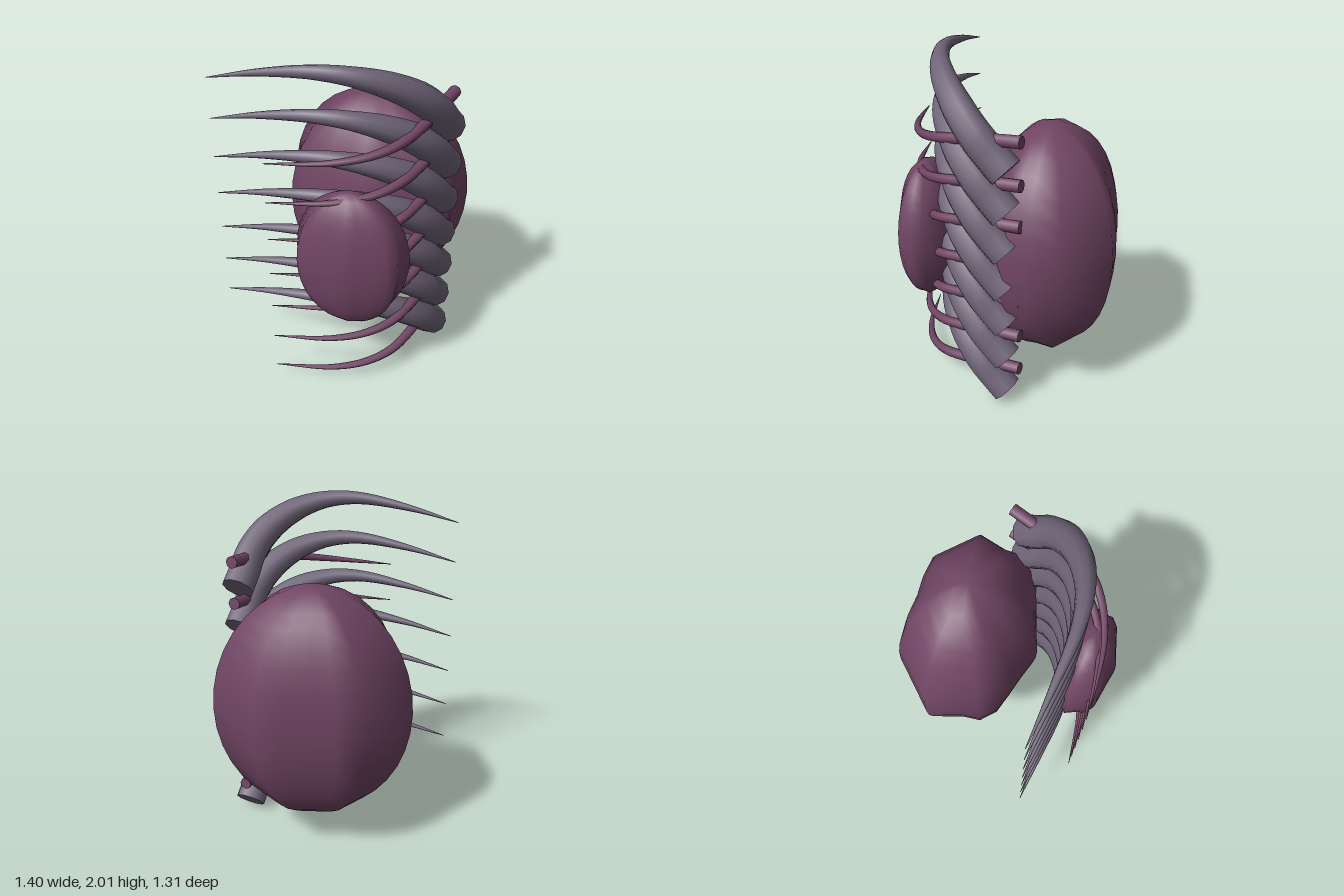
import * as THREE from 'three';
import { mergeGeometries, mergeVertices } from 'three/addons/utils/BufferGeometryUtils.js';

const COUNT = 7, SPACING = 0.2425;

// Tapered tube along a smooth path, radii spread evenly from base to tip, with a flat base cap
function taperedTube(points, radii, sides) {
  const curve = new THREE.CatmullRomCurve3(points.map(p => new THREE.Vector3(...p)));
  const steps = 32;
  const tube = new THREE.TubeGeometry(curve, steps, 1, sides, false);
  const pos = tube.attributes.position, v = new THREE.Vector3();
  for (let i = 0; i <= steps; i++) {
    const c = curve.getPointAt(i / steps);
    const t = (i / steps) * (radii.length - 1);
    const k = Math.min(Math.floor(t), radii.length - 2);
    const r = THREE.MathUtils.lerp(radii[k], radii[k + 1], t - k);
    for (let j = 0; j <= sides; j++) {
      const n = i * (sides + 1) + j;
      v.fromBufferAttribute(pos, n).sub(c).multiplyScalar(r).add(c);
      pos.setXYZ(n, v.x, v.y, v.z);
    }
  }
  tube.deleteAttribute('uv');
  const capPos = [...points[0]], capIndex = [];
  for (let j = 0; j <= sides; j++) {
    capPos.push(pos.getX(j), pos.getY(j), pos.getZ(j));
    if (j < sides) capIndex.push(0, j + 1, j + 2);
  }
  const cap = new THREE.BufferGeometry();
  cap.setAttribute('position', new THREE.Float32BufferAttribute(capPos, 3));
  cap.setIndex(capIndex);
  cap.computeVertexNormals();
  return mergeGeometries([tube, cap]);
}

// Half of the lobed horizontal outline (x, z), front to back
const HALF = [[0, 0.42], [0.13, 0.375], [0.27, 0.335], [0.41, 0.29], [0.5, 0.2],
  [0.51, 0.08], [0.57, -0.115], [0.3, -0.38], [0.15, -0.395], [0, -0.385]];

// Lobed ovoid: a sphere whose columns follow the mirrored outline
function lobedOvoid(height) {
  const outline = [...HALF, ...HALF.slice(1, -1).reverse().map(([x, z]) => [-x, z])];
  const cols = outline.length, rows = 18;
  const g = new THREE.SphereGeometry(1, cols, rows);
  const pos = g.attributes.position;
  for (let i = 0; i <= rows; i++) {
    const a = (i / rows) * Math.PI, s = Math.sin(a);
    for (let j = 0; j <= cols; j++) {
      const [x, z] = outline[j % cols];
      pos.setXYZ(i * (cols + 1) + j, x * s, Math.cos(a) * height / 2, z * s);
    }
  }
  g.deleteAttribute('uv');
  g.deleteAttribute('normal');
  const smooth = mergeVertices(g, 1e-4);
  smooth.computeVertexNormals();
  return smooth;
}

export function createModel() {
  const model = new THREE.Group();
  model.name = 'ribbedPods';
  const boneGrey = new THREE.MeshStandardMaterial({ color: 0x6f6478 });
  boneGrey.name = 'boneGrey';
  const plum = new THREE.MeshStandardMaterial({ color: 0x704564 });
  plum.name = 'plum';

  const add = (name, geometry, material, x, y, z) => {
    const mesh = new THREE.Mesh(geometry, material);
    mesh.name = name;
    mesh.position.set(x, y, z);
    model.add(mesh);
    return mesh;
  };

  // Large rear pod and small front pod
  add('rearPod', lobedOvoid(1.43), plum, 0.125, 0.893, -0.26);
  add('frontPod', lobedOvoid(0.88), plum, 0.142, 0.9, 0.475).scale.set(0.575, 1, 0.425);

  // Stack of curved ribs, each with a thin spine running through it
  const rib = taperedTube([
    [0.575, 0.064, -0.07], [0.55, 0.13, 0], [0.515, 0.235, 0.1], [0.43, 0.345, 0.205],
    [0.28, 0.44, 0.305], [0.1, 0.492, 0.366], [-0.1, 0.5, 0.383], [-0.4, 0.452, 0.352], [-0.7, 0.375, 0.31],
  ], [0.095, 0.093, 0.086, 0.07, 0.05, 0.036, 0.025, 0.013, 0.002], 10);
  const spine = taperedTube([
    [0.585, 0.24, -0.15], [0.535, 0.222, 0], [0.465, 0.185, 0.21], [0.38, 0.15, 0.36],
    [0.25, 0.113, 0.46], [0.05, 0.08, 0.53], [-0.31, 0.042, 0.56],
  ], [0.036, 0.034, 0.03, 0.025, 0.02, 0.012, 0.002], 8);
  for (let i = 0; i < COUNT; i++) {
    add('rib' + (i + 1), rib, boneGrey, 0, i * SPACING, 0);
    add('spine' + (i + 1), spine, plum, 0, i * SPACING, 0);
  }
  return model;
}
